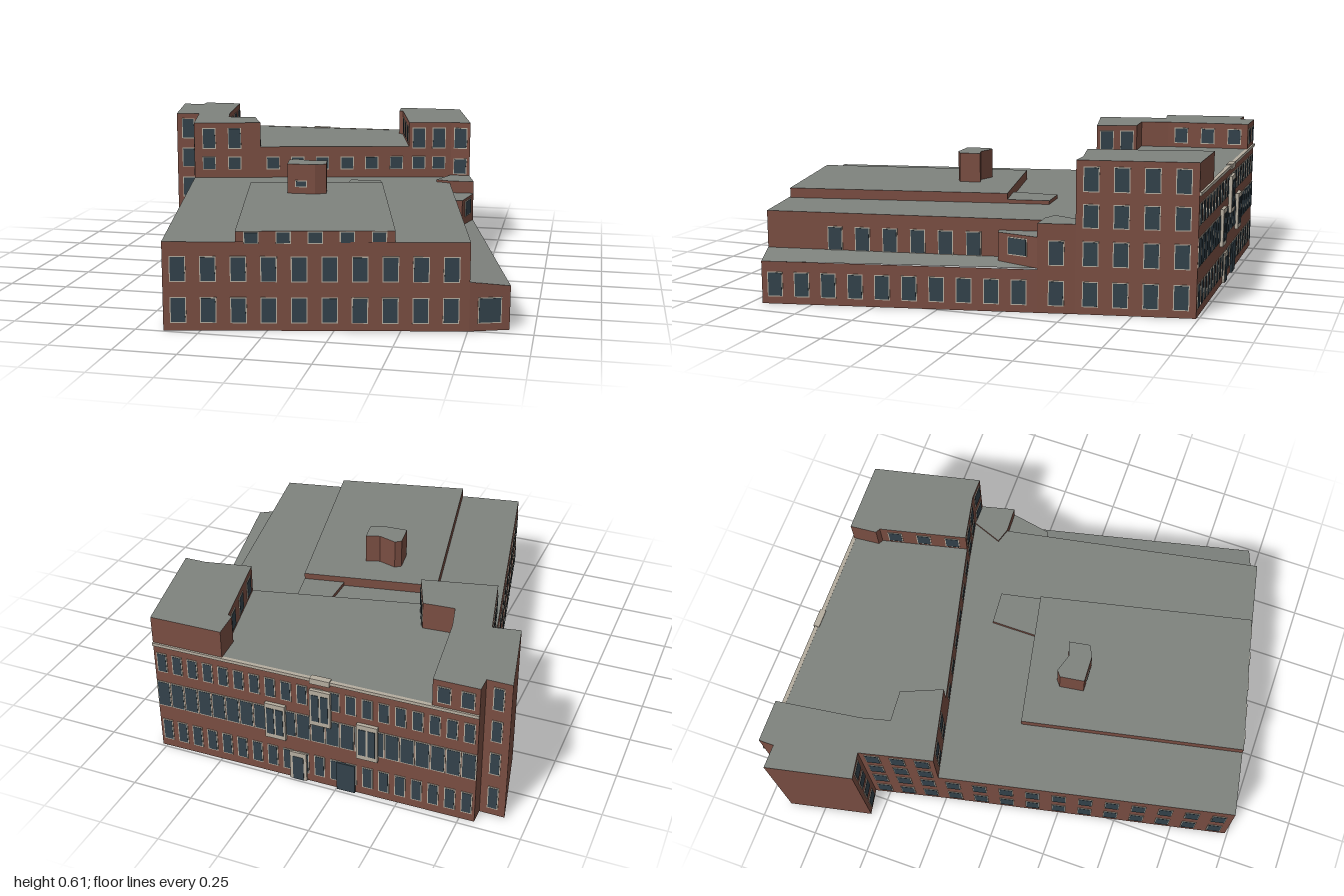
import * as THREE from 'three';
import { mergeGeometries } from 'three/addons/utils/BufferGeometryUtils.js';

const paint = (color) => new THREE.MeshStandardMaterial({ color, side: THREE.DoubleSide, flatShading: true });

// Storey rows: [sill height, window height]
const G = [0.03, 0.095], F1 = [0.193, 0.093], F2 = [0.345, 0.088], F3 = [0.488, 0.092], LOW = [0.388, 0.054];
const LEVELS = [G, F1, F2, F3];

export function createModel() {
  const model = new THREE.Group();
  const brick = paint(0x7a4e42), slate = paint(0x7f837e), glass = paint(0x33424b), trim = paint(0xb5ad9f);

  const add = (parent, name, geometry, material) => {
    const mesh = new THREE.Mesh(geometry, material);
    mesh.name = name;
    parent.add(mesh);
    return mesh;
  };

  // Box placed on a wall line a-b, at fraction t, straddling the wall
  function panel(a, b, t, y, w, h, d) {
    const box = new THREE.BoxGeometry(w, h, d);
    box.rotateY(-Math.atan2(b[1] - a[1], b[0] - a[0]));
    return box.translate(a[0] + (b[0] - a[0]) * t, y + h / 2, a[1] + (b[1] - a[1]) * t);
  }

  // Upright wall from a to b with n evenly spaced windows per row, between fractions t0 and t1
  function wall(name, a, b, y0, y1, { rows = [], n = 0, w = 0.055, t0 = 0, t1 = 1, yEnd = y1 } = {}) {
    const group = new THREE.Group();
    group.name = name;
    const geo = new THREE.BufferGeometry();
    geo.setAttribute('position', new THREE.Float32BufferAttribute(
      [a[0], y0, a[1], b[0], y0, b[1], b[0], yEnd, b[1], a[0], y1, a[1]], 3));
    geo.setIndex([0, 1, 2, 0, 2, 3]);
    geo.computeVertexNormals();
    add(group, 'brickwork', geo, brick);
    const frames = [], panes = [];
    for (const [y, h] of rows) {
      for (let i = 0; i < n; i++) {
        const t = t0 + (t1 - t0) * (i + 0.5) / n;
        frames.push(panel(a, b, t, y, w + 0.008, h + 0.008, 0.005));
        panes.push(panel(a, b, t, y + 0.004, w, h, 0.007));
      }
    }
    if (panes.length) {
      add(group, 'windowFrames', mergeGeometries(frames), trim);
      add(group, 'windowPanes', mergeGeometries(panes), glass);
    }
    model.add(group);
  }

  // Flat or sloping roof over a plan outline of [x, z] points
  function roof(name, pts, height, holes = []) {
    const toV = (p) => p.map(([x, z]) => new THREE.Vector2(x, -z));
    const shape = new THREE.Shape(toV(pts));
    holes.forEach((h) => shape.holes.push(new THREE.Path(toV(h))));
    const geo = new THREE.ShapeGeometry(shape).rotateX(-Math.PI / 2);
    const p = geo.attributes.position;
    for (let i = 0; i < p.count; i++) {
      p.setY(i, typeof height === 'function' ? height(p.getX(i), p.getZ(i)) : height);
    }
    geo.computeVertexNormals();
    add(model, name, geo, slate);
  }

  // Closed ring of walls around an outline; options may differ per side
  function ring(name, pts, y0, y1, options = {}) {
    pts.forEach((a, i) => wall(name, a, pts[(i + 1) % pts.length], y0, y1, options[i]));
  }

  // Shared plan corners
  const backR = [-0.81, -0.97], backL = [0.52, -0.99], midR = [-0.63, -0.973], midL = [0.22, -0.985];
  const mainBackR = [-0.655, -0.26], mainFrontR = [-0.39, 0.99], mainFrontL = [0.755, 0.755], mainBackL = [0.545, -0.38];
  const innerR = [-0.35, -0.33], innerL = [0.335, -0.49], neck = [-0.725, -0.565];
  const bump = [[-0.835, -0.545], [-0.91, -0.905], [-0.81, -0.905]];
  const towerInR = [[-0.58, -0.61], [-0.55, -0.49], [-0.42, -0.5]];
  const towerInL = [[0.23, -0.87], [0.25, -0.86]];
  const towerFrontL = [0.53, -0.53], towerSideL = [0.62, -0.53];
  const annexFront = [0.905, 0.70], annexBack = [0.655, -0.385], notch = [0.48, -0.4];
  const TOP = 0.612, MID = 0.497, MAIN = 0.35;

  // Main front block
  wall('frontWall', mainFrontR, mainFrontL, 0, MAIN, { rows: [G, F1], n: 10, t1: 0.99 });
  wall('rightWall', mainBackR, mainFrontR, 0, MAIN, { rows: [G, F1], n: 11 });
  wall('leftUpperWall', mainFrontL, mainBackL, 0.17, MAIN, { rows: [F1], n: 6, t0: 0.2, t1: 0.8 });

  // Raised roof, its small extension and the rooftop cabin
  const raised = [[-0.31, -0.005], [0.27, -0.12], [0.475, 0.805], [-0.115, 0.94]];
  const hatch = [[0.095, -0.285], [0.235, -0.295], [0.27, -0.12], [0.095, -0.085]];
  const cabin = [[-0.105, 0.1], [-0.08, 0.08], [0, 0.105], [0.06, 0.085], [0.075, 0.175], [0.03, 0.2], [-0.09, 0.205]];
  roof('mainRoof', [mainBackR, mainFrontR, mainFrontL, mainBackL, notch, towerFrontL, innerL, innerR], MAIN, [raised]);
  ring('raisedRoofWall', raised, MAIN, 0.392, { 2: { rows: [[0.343, 0.04]], n: 5, w: 0.05 } });
  roof('raisedRoof', raised, 0.392, [cabin]);
  ring('roofExtensionWall', hatch, MAIN, 0.366);
  roof('roofExtension', hatch, 0.366);
  ring('cabinWall', cabin, 0.392, 0.52, { 5: { rows: [[0.42, 0.022]], n: 1, w: 0.045 } });
  roof('cabinRoof', cabin, 0.52);

  // Single-storey side annex with a leaning roof
  const lean = (x, z) => 0.195 - 0.13 * (x - 0.755 - (z - 0.74) * 0.1875);
  roof('annexRoof', [mainFrontL, annexFront, annexBack, mainBackL], lean);
  wall('annexSideWall', annexFront, annexBack, 0, 0.175, { rows: [G], n: 10, t1: 0.985 });
  wall('annexFrontWall', mainFrontL, annexFront, 0, 0.195, { rows: [G], n: 1, w: 0.085, yEnd: 0.175 });

  // Box dormer on the annex roof
  const dormer = [[0.545, -0.385], [0.655, -0.385], [0.622, -0.21], [0.585, -0.2]];
  ring('dormerWall', dormer, 0.18, 0.305, { 1: { rows: [[0.22, 0.065]], n: 1, w: 0.08 } });
  roof('dormerRoof', dormer, 0.305);

  // Stair block between annex and tower
  const stair = [towerFrontL, towerSideL, annexBack, mainBackL, notch];
  roof('stairRoof', stair, 0.36);
  wall('stairSideWall', towerSideL, annexBack, 0, 0.36, { rows: [G, F1], n: 1 });
  wall('stairFrontWall', annexBack, mainBackL, 0.17, 0.36);
  wall('stairFrontWall', mainBackL, notch, MAIN, 0.36);
  wall('stairInnerWall', notch, towerFrontL, MAIN, 0.36);

  // Right-hand tower
  roof('rightTowerRoof', [backR, midR, ...towerInR, innerR, mainBackR, neck, ...bump], TOP);
  wall('rightTowerFront', mainBackR, innerR, MAIN, TOP, { rows: [LOW, F3], n: 2, t0: 0.03, t1: 0.8 });
  wall('rightTowerSide', neck, mainBackR, 0, TOP, { rows: LEVELS, n: 3 });
  wall('rightTowerBayFront', bump[0], neck, 0, TOP, { rows: LEVELS, n: 1 });
  wall('rightTowerBaySide', bump[1], bump[0], 0, TOP);
  wall('rightTowerBayBack', bump[2], bump[1], 0, TOP, { rows: LEVELS, n: 1, w: 0.035 });
  wall('rightTowerReturn', backR, bump[2], 0, TOP);
  wall('rightTowerInner', innerR, towerInR[2], MID - 0.147, TOP, { rows: [F3], n: 2 });
  wall('rightTowerInner', towerInR[2], towerInR[1], MID, TOP);
  wall('rightTowerInner', towerInR[1], towerInR[0], MID, TOP);
  wall('rightTowerInner', towerInR[0], midR, MID, TOP, { rows: [[0.515, 0.065]], n: 3 });

  // Left-hand tower
  roof('leftTowerRoof', [midL, ...towerInL, innerL, towerFrontL, towerSideL, backL], TOP);
  wall('leftTowerFront', innerL, towerFrontL, MAIN, TOP, { rows: [LOW, F3], n: 2, t1: 0.95 });
  wall('leftTowerFrontBay', towerFrontL, towerSideL, 0.36, TOP, { rows: [[0.365, 0.068], F3], n: 1 });
  wall('leftTowerSide', towerSideL, backL, 0, TOP, { rows: LEVELS, n: 4 });
  wall('leftTowerInner', innerL, towerInL[1], MID, TOP, { rows: [[0.51, 0.07]], n: 3 });
  wall('leftTowerInner', towerInL[1], towerInL[0], MID, TOP);
  wall('leftTowerInner', towerInL[0], midL, MID, TOP);

  // Middle range between the towers
  roof('middleRoof', [midR, midL, ...towerInL, innerL, innerR, ...[...towerInR].reverse()], MID);
  wall('middleFront', innerR, innerL, MAIN, MID, { rows: [LOW], n: 6 });

  // Rear facade: close-set windows, wide middle glazing, cornice
  wall('rearWall', backR, backL, 0, MID, { rows: [[0.035, 0.09], [0.365, 0.08]], n: 20, w: 0.036 });
  wall('rearGlazing', backR, backL, 0.17, 0.33, { rows: [[0.2, 0.11]], n: 22, w: 0.05 });
  wall('rearTopRight', backR, midR, MID, TOP, { rows: [[0.515, 0.065]], n: 2, w: 0.045 });
  wall('rearTopLeft', midL, backL, MID, TOP);
  add(model, 'cornice', panel(backR, backL, 0.5, 0.485, 1.33, 0.013, 0.016), trim);

  // Shallow rear bays and doorways
  const at = (x) => (x - backR[0]) / (backL[0] - backR[0]);
  for (const [x, y, h] of [[-0.38, 0.18, 0.16], [-0.19, 0.29, 0.16], [0, 0.18, 0.16]]) {
    add(model, 'rearBay', panel(backR, backL, at(x), y, 0.085, h, 0.03), trim);
    for (const s of [-1, 1]) {
      add(model, 'rearBayGlass', panel(backR, backL, at(x + s * 0.019), y + 0.02, 0.03, h - 0.04, 0.034), glass);
    }
  }
  add(model, 'rearCrest', panel(backR, backL, at(-0.19), 0.478, 0.08, 0.024, 0.026), trim);
  add(model, 'rearDoorSurround', panel(backR, backL, at(-0.09), 0, 0.07, 0.13, 0.018), trim);
  add(model, 'rearDoor', panel(backR, backL, at(-0.09), 0, 0.045, 0.11, 0.021), glass);
  add(model, 'rearGate', panel(backR, backL, at(-0.29), 0, 0.075, 0.13, 0.018), glass);

  return model;
}
